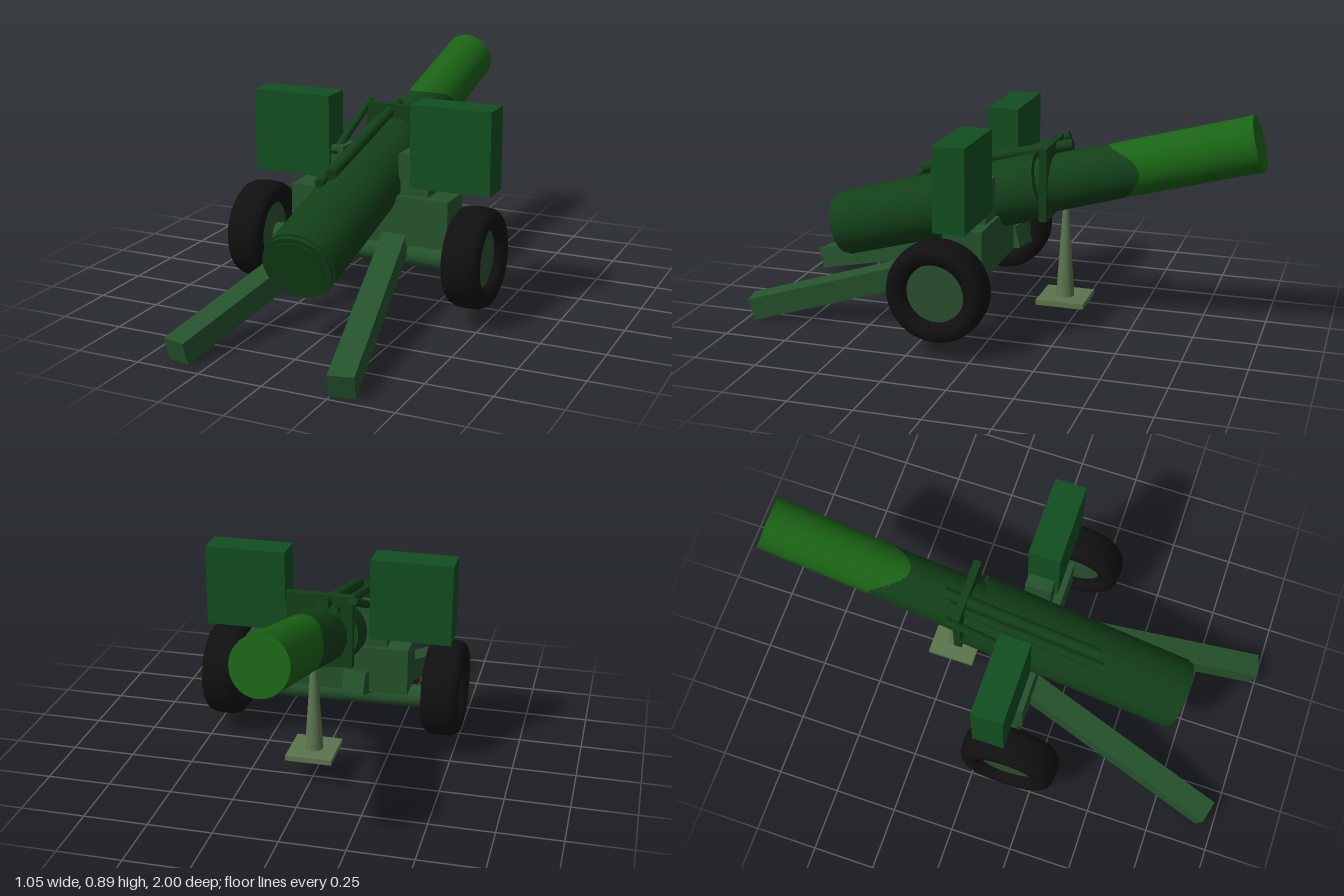
import * as THREE from 'three';

const paint = (color) => new THREE.MeshStandardMaterial({ color });
const V = (x, y, z) => new THREE.Vector3(x, y, z);

export function createModel() {
  const gun = new THREE.Group();
  gun.name = 'fieldGun';
  const muzzleGreen = paint(0x1a6315), barrelGreen = paint(0x123f18), shieldGreen = paint(0x124f20);
  const frameGreen = paint(0x25532c), hubGreen = paint(0x2b4f30), rubber = paint(0x101010), olive = paint(0x5c754f);

  const add = (name, geometry, material, parent = gun) => {
    const mesh = new THREE.Mesh(geometry, material);
    mesh.name = name;
    parent.add(mesh);
    return mesh;
  };
  // Box given by its lower and upper corners
  const box = (name, a, b, material) => {
    const mesh = add(name, new THREE.BoxGeometry(b[0] - a[0], b[1] - a[1], b[2] - a[2]), material);
    mesh.position.set((a[0] + b[0]) / 2, (a[1] + b[1]) / 2, (a[2] + b[2]) / 2);
    return mesh;
  };
  // Round bar between two points
  const rod = (name, a, b, r, material) => {
    const mesh = add(name, new THREE.CylinderGeometry(r, r, a.distanceTo(b), 20), material);
    mesh.position.copy(a).lerp(b, 0.5);
    mesh.quaternion.setFromUnitVectors(V(0, 1, 0), b.clone().sub(a).normalize());
    return mesh;
  };
  // Square beam between two points, kept level across
  const beam = (name, a, b, w, h, material) => {
    const mesh = add(name, new THREE.BoxGeometry(w, h, a.distanceTo(b)), material);
    mesh.position.copy(a).lerp(b, 0.5);
    mesh.lookAt(b);
    return mesh;
  };

  // Barrel group: local y runs from breech to muzzle, raised about 15 degrees
  const barrel = new THREE.Group();
  barrel.name = 'barrel';
  barrel.position.set(-0.01, 0.338, 0.712);
  barrel.rotation.x = -THREE.MathUtils.degToRad(74.6);
  gun.add(barrel);
  const tube = (name, r0, r1, s0, s1, sx, material) => {
    const mesh = add(name, new THREE.CylinderGeometry(r1, r0, s1 - s0, 40), material, barrel);
    mesh.position.y = (s0 + s1) / 2;
    mesh.scale.x = sx;
    return mesh;
  };
  tube('breechJacket', 0.131, 0.131, 0.022, 0.889, 1.09, barrelGreen);
  tube('breechRing', 0.125, 0.125, 0.004, 0.03, 1.09, barrelGreen);
  tube('breechCap', 0.108, 0.108, -0.002, 0.02, 1, barrelGreen);
  tube('barrelSleeve', 0.113, 0.104, 0.8, 1.425, 0.99, barrelGreen);
  tube('muzzleTube', 0.1075, 0.1075, 1.1, 1.743, 0.975, muzzleGreen);

  // Collar plate and the recoil rods that pass over it
  box('collarPlate', [-0.14, 0.46, -0.187], [0.117, 0.75, -0.157], barrelGreen);
  rod('recoilRod', V(-0.04, 0.593, 0.37), V(-0.04, 0.737, -0.25), 0.022, barrelGreen);
  rod('recoilRod', V(-0.075, 0.56, 0.4), V(-0.075, 0.705, -0.22), 0.018, barrelGreen);
  rod('elevatingRod', V(-0.148, 0.6, 0.12), V(-0.148, 0.745, -0.21), 0.016, barrelGreen);

  // Carriage with uprights and shields
  box('carriage', [-0.32, 0.28, 0], [0.34, 0.47, 0.155], frameGreen);
  for (const side of [-1, 1]) {
    const cx = 0.007;
    const span = (name, inner, outer, y0, y1, z0, z1, material) => {
      const xs = [cx + side * inner, cx + side * outer].sort((p, q) => p - q);
      box(name, [xs[0], y0, z0], [xs[1], y1, z1], material);
    };
    span('upright', 0.117, 0.24, 0.46, 0.63, 0.015, 0.12, frameGreen);
    span('shield', 0.17, 0.493, 0.505, 0.83, 0.01, 0.135, shieldGreen);
  }

  // Axle, with its end showing at the left hub
  rod('axle', V(-0.42, 0.235, 0.105), V(0.44, 0.225, 0.09), 0.046, frameGreen);
  rod('axleEnd', V(0.4, 0.245, 0.087), V(0.465, 0.245, 0.087), 0.032, frameGreen);

  // Wheels: rounded tyre on a recessed disc
  const tyre = [[0.112, -0.03], [0.118, -0.058], [0.145, -0.074], [0.168, -0.073], [0.183, -0.062], [0.192, -0.042],
    [0.195, 0], [0.192, 0.042], [0.183, 0.062], [0.168, 0.073], [0.145, 0.074], [0.118, 0.058], [0.112, 0.03]]
    .map(([r, y]) => new THREE.Vector2(r, y));
  for (const [x, z] of [[-0.45, 0.148], [0.447, 0.135]]) {
    const wheel = new THREE.Group();
    wheel.name = 'wheel';
    wheel.position.set(x, 0.265, z);
    wheel.rotation.z = Math.PI / 2;
    gun.add(wheel);
    add('tyre', new THREE.LatheGeometry(tyre, 40), rubber, wheel);
    add('hubDisc', new THREE.CylinderGeometry(0.116, 0.116, 0.07, 40), hubGreen, wheel).position.y = x > 0 ? 0.025 : -0.025;
    wheel.children[1].position.y = 0;
  }

  // Split trails
  beam('rightTrail', V(-0.366, 0.057, 0.955), V(-0.11, 0.33, -0.03), 0.095, 0.09, frameGreen);
  beam('leftTrail', V(0.295, 0.054, 0.98), V(0.11, 0.29, 0.1), 0.095, 0.09, frameGreen);

  // Support jack
  box('jackFoot', [-0.092, 0.11, -0.33], [0.09, 0.131, -0.14], olive);
  const post = add('jackPost', new THREE.CylinderGeometry(0.011, 0.036, 0.39, 24), olive);
  post.position.set(-0.002, 0.32, -0.235);
  rod('jackPin', V(-0.002, 0.088, -0.235), V(-0.002, 0.12, -0.235), 0.014, olive);

  return gun;
}
